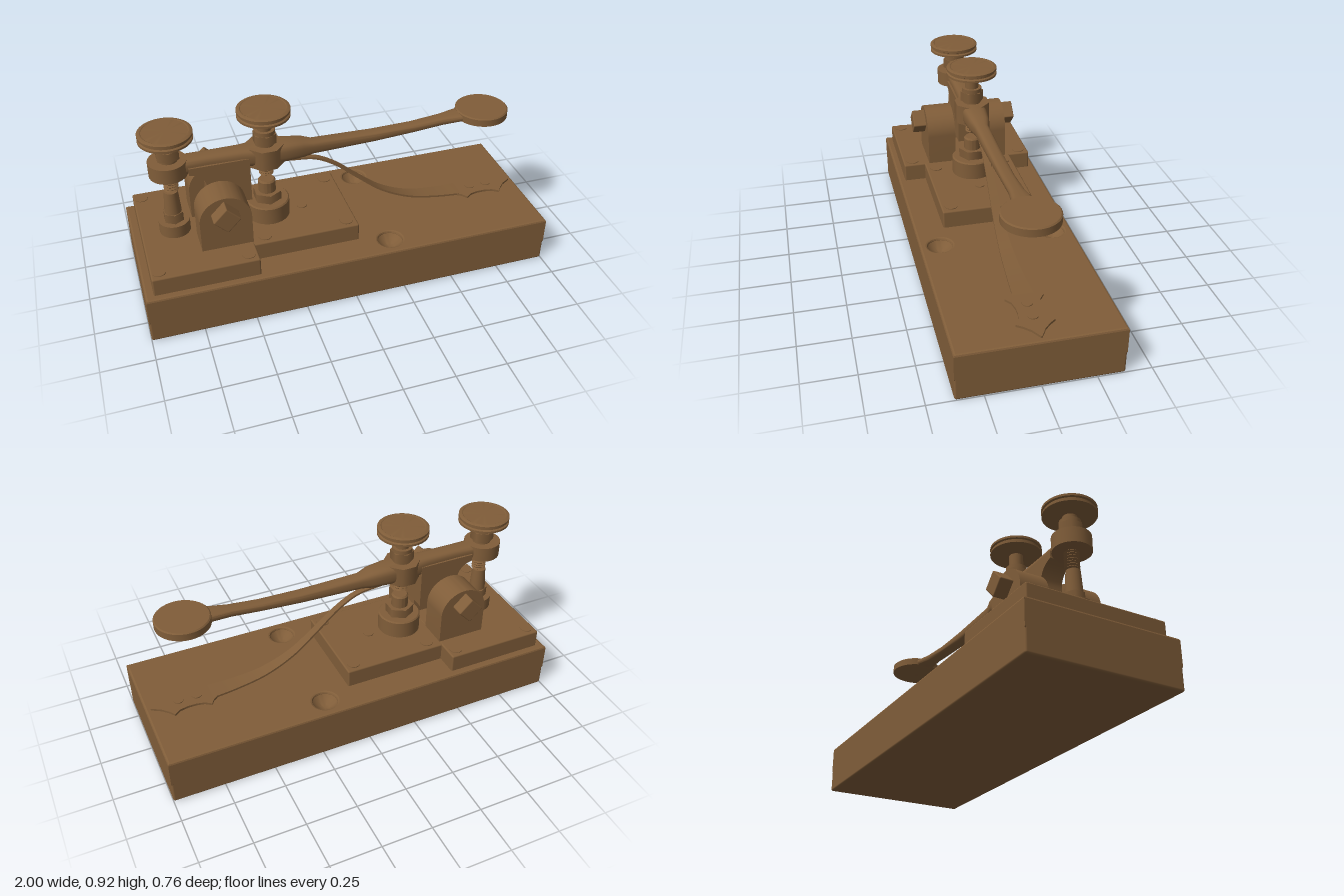
import * as THREE from 'three';
import { toCreasedNormals } from 'three/addons/utils/BufferGeometryUtils.js';
import { RoundedBoxGeometry } from 'three/addons/geometries/RoundedBoxGeometry.js';

const brown = new THREE.MeshStandardMaterial({ color: 0x805d39, side: THREE.DoubleSide });
brown.name = 'aged brown';

const V2 = (p) => new THREE.Vector2(p[0], p[1]);

// Surface of revolution from [radius, height] points, edges kept sharp
const lathe = (pts, sides = 40) =>
  toCreasedNormals(new THREE.LatheGeometry(pts.map(V2), sides), 0.5);

// Skin over stations { x, y, angle, h, w }: h and w are half height and half width
function loft(stations, n, power) {
  const pos = [], idx = [];
  const f = (v) => Math.sign(v) * Math.pow(Math.abs(v), power);
  for (const s of stations) {
    const a = s.angle || 0;
    for (let j = 0; j < n; j++) {
      const t = ((j + 0.5) / n) * Math.PI * 2;
      const up = s.h * f(Math.cos(t));
      pos.push(s.x - Math.sin(a) * up, s.y + Math.cos(a) * up, s.w * f(Math.sin(t)));
    }
  }
  const last = (stations.length - 1) * n;
  for (let i = 0; i < last; i += n) {
    for (let j = 0; j < n; j++) {
      const k = (j + 1) % n;
      idx.push(i + j, i + k, i + n + k, i + j, i + n + k, i + n + j);
    }
  }
  for (let j = 1; j < n - 1; j++) idx.push(0, j + 1, j, last, last + j, last + j + 1);
  const g = new THREE.BufferGeometry();
  g.setAttribute('position', new THREE.Float32BufferAttribute(pos, 3));
  g.setIndex(idx);
  return toCreasedNormals(g, 0.6);
}

export function createModel() {
  const model = new THREE.Group();
  const add = (name, geo, x = 0, y = 0, z = 0, parent = model) => {
    const m = new THREE.Mesh(geo, brown);
    m.name = name;
    m.position.set(x, y, z);
    parent.add(m);
    return m;
  };
  const cyl = (r, h, sides = 32, rTop = r) => new THREE.CylinderGeometry(rTop, r, h, sides);

  // Wooden base with two countersunk mounting holes
  add('baseBottom', new RoundedBoxGeometry(2, 0.18, 0.756, 2, 0.01), 0, 0.09, 0);
  const top = new THREE.Shape([[-0.99, -0.368], [0.99, -0.368], [0.99, 0.368], [-0.99, 0.368]].map(V2));
  for (const s of [-1, 1]) {
    const hole = new THREE.Path();
    hole.absarc(0.2, s * 0.28, 0.07, 0, Math.PI * 2, true);
    top.holes.push(hole);
    add('mountingHole', lathe([[0, 0.19], [0.022, 0.195], [0.045, 0.21], [0.062, 0.23]]), 0.2, 0, s * 0.28);
  }
  const topGeo = new THREE.ExtrudeGeometry(top, {
    depth: 0.12, bevelEnabled: true, bevelThickness: 0.01, bevelSize: 0.01, bevelSegments: 2, curveSegments: 24,
  });
  topGeo.rotateX(-Math.PI / 2);
  add('baseTop', topGeo, 0, 0.11, 0);

  // Metal plates and their screws
  add('rearPlate', new RoundedBoxGeometry(0.5, 0.1, 0.69, 2, 0.008), -0.71, 0.28, 0);
  add('frontPlate', new RoundedBoxGeometry(0.53, 0.098, 0.47, 2, 0.008), -0.21, 0.28, 0);
  for (const [x, z] of [[-0.92, 0.295], [-0.505, 0.295], [-0.4, 0.185], [0.005, 0.185]]) {
    for (const s of [-1, 1]) add('plateScrew', cyl(0.032, 0.012, 20), x, 0.327, s * z);
  }
  add('plateScrew', cyl(0.025, 0.012, 20), -0.167, 0.327, 0);

  // Round-topped pivot supports with square bolt heads
  const cheek = new THREE.Shape();
  cheek.moveTo(-0.122, 0);
  cheek.lineTo(0.122, 0);
  cheek.lineTo(0.122, 0.155);
  cheek.absarc(0, 0.155, 0.122, 0, Math.PI, false);
  const cheekGeo = toCreasedNormals(
    new THREE.ExtrudeGeometry(cheek, { depth: 0.145, bevelEnabled: false, curveSegments: 24 }), 0.5);
  for (const s of [-1, 1]) {
    add('pivotSupport', cheekGeo, -0.583, 0.328, s > 0 ? 0.065 : -0.21);
    const bolt = add('pivotBolt', new RoundedBoxGeometry(0.093, 0.093, 0.08, 2, 0.006), -0.587, 0.525, s * 0.235);
    bolt.rotation.z = 0.8;
  }
  add('pivotAxle', cyl(0.04, 0.4), -0.587, 0.525, 0).rotation.x = Math.PI / 2;

  // Lever arm: x, bottom, top, half width
  const arm = [
    [-0.8, 0.653, 0.725, 0.05], [-0.62, 0.65, 0.727, 0.045], [-0.46, 0.637, 0.728, 0.048],
    [-0.38, 0.632, 0.729, 0.06], [-0.25, 0.63, 0.729, 0.06], [-0.16, 0.632, 0.72, 0.05],
    [-0.11, 0.637, 0.704, 0.036], [0.2, 0.647, 0.697, 0.033], [0.4, 0.66, 0.701, 0.032],
    [0.55, 0.675, 0.714, 0.035], [0.65, 0.685, 0.724, 0.05], [0.72, 0.688, 0.727, 0.085],
  ].map(([x, b, t, w]) => ({ x, y: (b + t) / 2, h: (t - b) / 2, w }));
  add('leverArm', loft(arm, 20, 0.6));
  add('fingerPaddle', lathe([[0, 0.682], [0.115, 0.682], [0.13, 0.69], [0.13, 0.725], [0.124, 0.73], [0, 0.73]]), 0.77, 0, 0);
  add('rearBoss', cyl(0.09, 0.075), -0.797, 0.688, 0);
  add('frontBoss', cyl(0.09, 0.1, 8), -0.338, 0.678, 0).rotation.y = Math.PI / 8;

  // Lever hub hanging between the supports
  const hub = new THREE.Shape();
  hub.moveTo(-0.425, 0.46);
  hub.lineTo(-0.425, 0.69);
  hub.lineTo(-0.71, 0.69);
  hub.lineTo(-0.71, 0.655);
  hub.quadraticCurveTo(-0.63, 0.64, -0.63, 0.56);
  hub.lineTo(-0.63, 0.46);
  const hubGeo = new THREE.ExtrudeGeometry(hub, { depth: 0.11, bevelEnabled: false, curveSegments: 12 });
  add('leverHub', toCreasedNormals(hubGeo, 0.5), 0, 0, -0.055);

  // Adjusting screws: grooved knob, neck, lock nut and threaded end
  const knob = lathe([[0, 0], [0.1, 0], [0.125, 0.006], [0.125, 0.016], [0.117, 0.021], [0.117, 0.027],
    [0.125, 0.031], [0.125, 0.042], [0.115, 0.047], [0.108, 0.047], [0.105, 0.045], [0, 0.045]], 48);
  const thread = [[0, 0], [0.024, 0]];
  for (let i = 0; i < 7; i++) thread.push([0.035, 0.008 + i * 0.0135], [0.028, 0.0145 + i * 0.0135]);
  thread.push([0, 0.1]);
  const threadGeo = lathe(thread, 24);
  function adjuster(name, x, knobY) {
    const g = new THREE.Group();
    g.name = name;
    g.position.x = x;
    model.add(g);
    add('knob', knob, 0, knobY, 0, g);
    add('neck', cyl(0.034, knobY - 0.71, 24), 0, (knobY + 0.72) / 2, 0, g);
    add('lockNut', cyl(0.058, 0.05, 6), 0, 0.763, 0, g);
    add('nutCollar', cyl(0.05, 0.02, 24), 0, 0.798, 0, g);
    add('washer', cyl(0.045, 0.014, 24), 0, 0.732, 0, g);
    add('thread', threadGeo, 0, 0.558, 0, g);
  }
  adjuster('rearAdjuster', -0.792, 0.832);
  adjuster('frontAdjuster', -0.338, 0.875);

  // Rear stop post and front contact under the screws
  add('rearStopBase', cyl(0.074, 0.065), -0.797, 0.36, 0);
  add('rearStopNut', cyl(0.05, 0.05, 6), -0.797, 0.415, 0);
  add('rearStopPost', cyl(0.042, 0.13, 24, 0.033), -0.797, 0.49, 0);
  add('contactBase', lathe([[0, 0.325], [0.105, 0.325], [0.105, 0.414], [0.099, 0.42], [0, 0.42]]), -0.338, 0, 0);
  add('contactNut', cyl(0.07, 0.047, 6), -0.338, 0.442, 0);
  add('contactPost', lathe([[0.042, 0.46], [0.042, 0.522], [0.035, 0.53], [0, 0.53]]), -0.338, 0, 0);

  // Return spring: a bent strip that widens towards the foot
  const path = new THREE.CatmullRomCurve3([
    [-0.28, 0.625], [-0.2, 0.617], [-0.1, 0.603], [0, 0.55], [0.12, 0.45], [0.25, 0.348],
    [0.4, 0.28], [0.55, 0.254], [0.68, 0.246],
  ].map(([x, y]) => new THREE.Vector3(x, y, 0)));
  const strip = [];
  for (let i = 0; i <= 40; i++) {
    const u = i / 40, p = path.getPointAt(u), d = path.getTangentAt(u);
    strip.push({ x: p.x, y: p.y, angle: Math.atan2(d.y, d.x), h: 0.005, w: 0.014 + 0.034 * u * u });
  }
  add('returnSpring', loft(strip, 4, 0));

  // Ornamental spring foot and its two screws
  const foot = [[0.66, 0.047], [0.68, 0.06], [0.7, 0.088], [0.73, 0.066], [0.77, 0.058], [0.81, 0.058],
    [0.85, 0.066], [0.88, 0.088], [0.9, 0.06], [0.93, 0.03], [0.975, 0.003]]
    .map(([x, w]) => ({ x, y: 0.245, h: 0.006, w }));
  add('springFoot', loft(foot, 4, 0));
  for (const x of [0.75, 0.84]) add('footScrew', cyl(0.024, 0.01, 20), x, 0.25, 0);

  return model;
}
